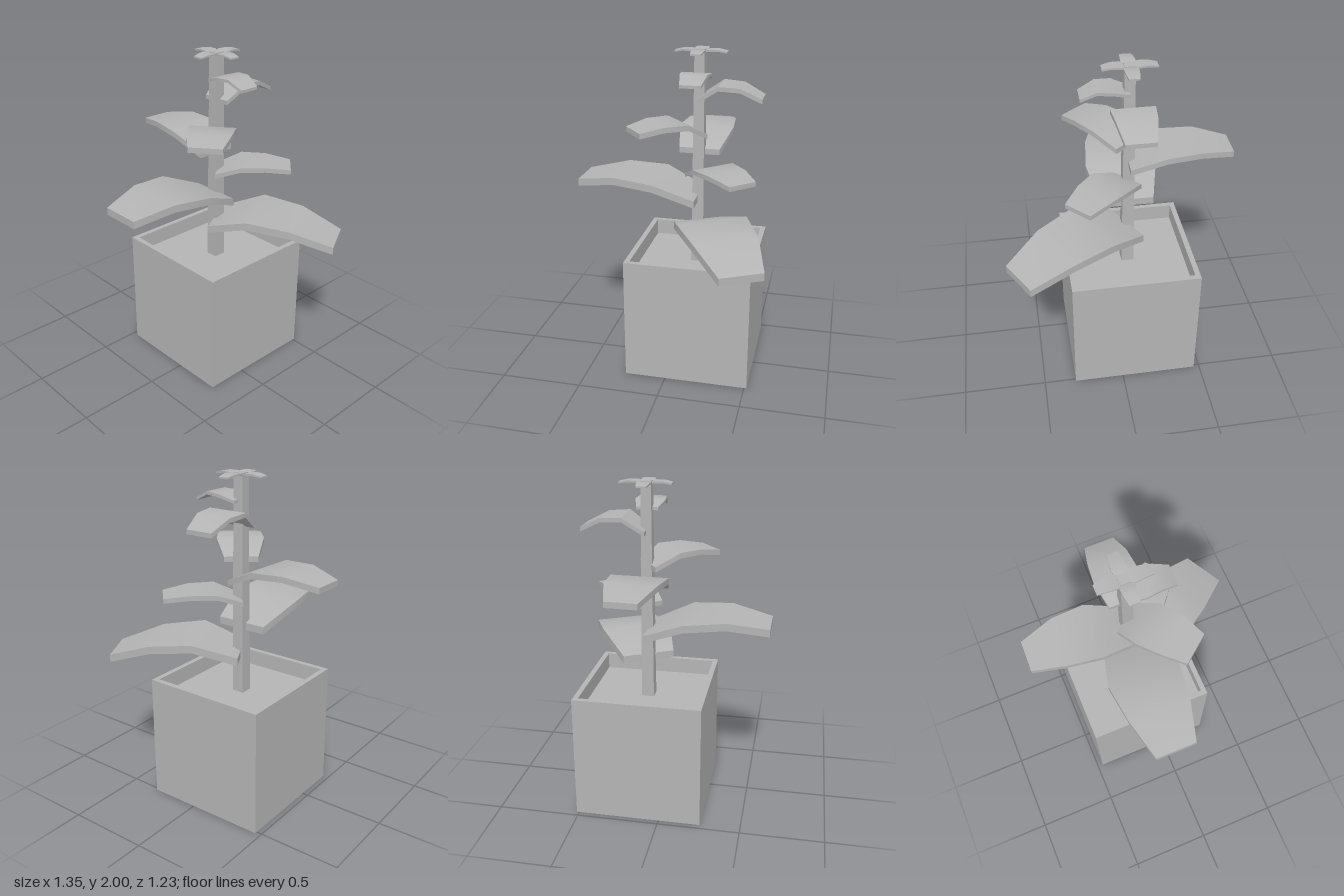
import * as THREE from 'three';
import { toCreasedNormals } from 'three/addons/utils/BufferGeometryUtils.js';

const STEM_X = -0.08, STEM_Z = -0.13;

// Slab leaf running along +z: four rectangular sections, gently curved along its length
function leafGeometry(length, heights, halfWidths, thickness) {
  const positions = [], index = [];
  heights.forEach((y, i) => {
    const w = halfWidths[i], z = (length * i) / 3;
    positions.push(-w, y, z, w, y, z, w, y - thickness, z, -w, y - thickness, z);
  });
  const quad = (a, b, c, d) => index.push(a, b, c, a, c, d);
  for (let i = 0; i < 3; i++) {
    for (let k = 0; k < 4; k++) {
      const n = (k + 1) % 4;
      quad(i * 4 + k, i * 4 + 4 + k, i * 4 + 4 + n, i * 4 + n);
    }
  }
  quad(0, 1, 2, 3);
  quad(12, 15, 14, 13);
  const geometry = new THREE.BufferGeometry();
  geometry.setAttribute('position', new THREE.Float32BufferAttribute(positions, 3));
  geometry.setIndex(index);
  return toCreasedNormals(geometry, 0.6);
}

export function createModel() {
  const model = new THREE.Group();
  model.name = 'pottedPlant';
  const grey = new THREE.MeshStandardMaterial({ color: 0xb4b4b4 });
  grey.name = 'grey';

  const add = (name, geometry, x, y, z) => {
    const mesh = new THREE.Mesh(geometry, grey);
    mesh.name = name;
    mesh.position.set(x, y, z);
    model.add(mesh);
    return mesh;
  };

  // Square pot walls with an open top
  const square = (Type, h) => new Type([[-h, -h], [h, -h], [h, h], [-h, h]].map(([x, y]) => new THREE.Vector2(x, y)));
  const outline = square(THREE.Shape, 0.385);
  outline.holes.push(square(THREE.Path, 0.353));
  const walls = new THREE.ExtrudeGeometry(outline, { depth: 0.77, bevelEnabled: false });
  walls.rotateX(-Math.PI / 2);
  add('pot', walls, STEM_X, 0, STEM_Z);

  // Soil fills the pot to below the rim
  add('soil', new THREE.BoxGeometry(0.706, 0.67, 0.706), STEM_X, 0.335, STEM_Z);

  // Tapered square stem
  const stem = new THREE.CylinderGeometry(0.03 * Math.SQRT2, 0.038 * Math.SQRT2, 1.33, 4, 1).toNonIndexed();
  stem.rotateY(Math.PI / 4);
  stem.computeVertexNormals();
  add('stem', stem, STEM_X, 1.33, STEM_Z);

  // Leaves: name, tip x, tip z, top heights, half widths, thickness
  const leaves = [
    ['lowestLeaf', 0.607, -0.502, [0.94, 1.03, 1.0, 0.908], [0.16, 0.22, 0.195, 0.131], 0.047],
    ['frontLeaf', -0.083, 0.61, [1.112, 1.215, 1.235, 1.19], [0.16, 0.22, 0.19, 0.125], 0.045],
    ['backLeftLeaf', 0.252, -0.445, [1.265, 1.325, 1.325, 1.302], [0.1, 0.14, 0.125, 0.09], 0.028],
    ['rightLeaf', -0.675, -0.148, [1.4, 1.49, 1.5, 1.462], [0.125, 0.17, 0.15, 0.093], 0.035],
    ['frontLeftLeaf', 0.192, 0.21, [1.512, 1.588, 1.59, 1.563], [0.1, 0.14, 0.13, 0.099], 0.032],
    ['backLeaf', -0.081, -0.508, [1.718, 1.803, 1.795, 1.732], [0.09, 0.124, 0.112, 0.084], 0.026],
    ['leftLeaf', 0.195, -0.126, [1.845, 1.875, 1.88, 1.835], [0.065, 0.09, 0.08, 0.062], 0.018],
  ];
  // Crown of four small leaves at the top
  [[0.152, 0], [0, 0.148], [-0.155, 0], [0, -0.16]].forEach(([dx, dz], i) => {
    leaves.push(['crownLeaf' + (i + 1), STEM_X + dx, STEM_Z + dz,
      [1.982, 1.996, 1.997, 1.987], [0.029, 0.042, 0.038, 0.03], 0.01]);
  });

  for (const [name, x, z, heights, halfWidths, thickness] of leaves) {
    const dx = x - STEM_X, dz = z - STEM_Z;
    const leaf = add(name, leafGeometry(Math.hypot(dx, dz), heights, halfWidths, thickness), STEM_X, 0, STEM_Z);
    leaf.rotation.y = Math.atan2(dx, dz);
  }
  return model;
}
